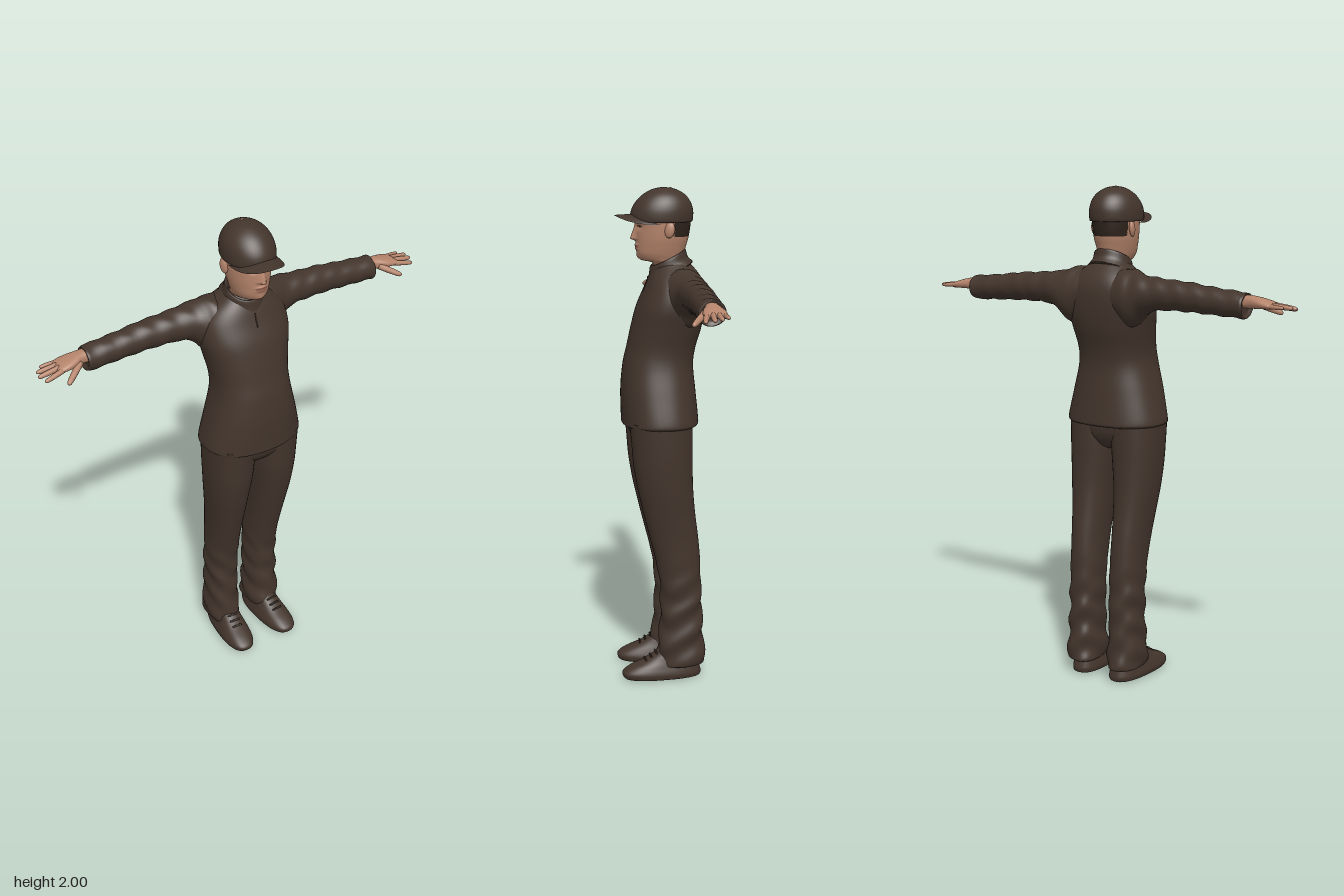
import * as THREE from 'three';

const V3 = THREE.Vector3;
const mat = (name, color, extra = {}) => {
  const m = new THREE.MeshStandardMaterial({ color, ...extra });
  m.name = name;
  return m;
};

// Smooth closed body through rows of [y, centreX, radiusX, zFront, zBack]; n squares the section
function loft(rows, { segs = 40, steps = 40, n = 2, rule } = {}) {
  const curve = f => new THREE.CatmullRomCurve3(rows.map(f), false, 'catmullrom', 0.5);
  const A = curve(r => new V3(r[0], r[1], r[2]));
  const B = curve(r => new V3(r[3], r[4], 0));
  const sq = v => Math.sign(v) * Math.abs(v) ** (2 / n);
  const pos = [], idx = [], centres = [];
  for (let j = 0; j <= steps; j++) {
    const a = A.getPoint(j / steps), b = B.getPoint(j / steps);
    const mid = new V3();
    for (let i = 0; i < segs; i++) {
      const t = (i / segs) * Math.PI * 2;
      const p = new V3(a.y + a.z * sq(Math.cos(t)), a.x, (b.x + b.y) / 2 + ((b.x - b.y) / 2) * sq(Math.sin(t)));
      if (rule) rule(p);
      pos.push(p.x, p.y, p.z);
      mid.addScaledVector(p, 1 / segs);
    }
    centres.push(mid);
  }
  for (let j = 0; j < steps; j++) for (let i = 0; i < segs; i++) {
    const k = (i + 1) % segs, a = j * segs + i, b = j * segs + k, c = a + segs, d = b + segs;
    idx.push(a, c, b, b, c, d);
  }
  // close both ends
  const end = pos.length / 3, top = steps * segs;
  pos.push(...centres[0].toArray(), ...centres[steps].toArray());
  for (let i = 0; i < segs; i++) {
    const k = (i + 1) % segs;
    idx.push(end, i, k, end + 1, top + k, top + i);
  }
  const g = new THREE.BufferGeometry();
  g.setAttribute('position', new THREE.Float32BufferAttribute(pos, 3));
  g.setIndex(idx);
  g.computeVertexNormals();
  return g;
}

// Body lofted along x on side s, rows of [x, centreY, radiusY, zFront, zBack]
const sideLoft = (s, rows, opt) =>
  loft(rows.map(([x, y, ...r]) => [x, -s * y, ...r]), opt).rotateZ((-s * Math.PI) / 2);

// Tapered finger between two points
function finger(from, to, r) {
  const a = new V3(...from), dir = new V3(...to).sub(a), L = dir.length();
  const g = loft([[0, 1], [0.5, 0.95], [0.85, 0.78], [0.97, 0.5], [1, 0.1]]
    .map(([t, k]) => [t * L, 0, r * k, r * k, -r * k]), { segs: 12, steps: 14 });
  g.applyQuaternion(new THREE.Quaternion().setFromUnitVectors(new V3(0, 1, 0), dir.normalize()));
  return g.translate(a.x, a.y, a.z);
}

// Split triangles into material groups by a rule on their centre
function paint(g, pick, count) {
  const buckets = Array.from({ length: count }, () => []), p = g.attributes.position, ix = g.index.array;
  const c = new V3(), v = new V3();
  for (let i = 0; i < ix.length; i += 3) {
    c.set(0, 0, 0);
    for (let k = 0; k < 3; k++) c.addScaledVector(v.fromBufferAttribute(p, ix[i + k]), 1 / 3);
    buckets[pick(c)].push(ix[i], ix[i + 1], ix[i + 2]);
  }
  g.setIndex(buckets.flat());
  let start = 0;
  buckets.forEach((b, m) => { g.addGroup(start, b.length, m); start += b.length; });
  return g;
}

export function createModel() {
  const root = new THREE.Group();
  root.name = 'standingFigure';
  const cloth = mat('brownCloth', 0x43352c, { side: THREE.DoubleSide });
  const skin = mat('skin', 0xb5846b);
  const hair = mat('darkHair', 0x2e221b);
  const lip = mat('lips', 0x94604f);
  const add = (name, geo, m, parent = root) => {
    const mesh = new THREE.Mesh(geo, m);
    mesh.name = name;
    parent.add(mesh);
    return mesh;
  };

  // Pullover body and hem
  add('pullover', loft([
    [1.058, 0, 0.195, 0.14, -0.145], [1.064, 0, 0.207, 0.152, -0.155], [1.085, 0, 0.21, 0.153, -0.156],
    [1.2, 0, 0.183, 0.155, -0.145], [1.3, 0, 0.16, 0.146, -0.136], [1.37, 0, 0.157, 0.13, -0.145],
    [1.45, 0, 0.17, 0.112, -0.168], [1.53, 0, 0.185, 0.09, -0.18], [1.6, 0, 0.178, 0.06, -0.18],
    [1.65, 0, 0.145, 0.04, -0.165], [1.69, 0, 0.095, 0.02, -0.135], [1.71, 0, 0.07, 0.005, -0.11],
  ], { segs: 56, steps: 66, n: 2.3 }), cloth);

  // Stand-up collar, higher at the back
  add('collar', loft([
    [1.66, 0, 0.1, 0.05, -0.135], [1.69, 0, 0.083, 0.04, -0.115], [1.72, 0, 0.077, 0.036, -0.107],
    [1.726, 0, 0.073, 0.032, -0.103], [1.72, 0, 0.066, 0.026, -0.097], [1.69, 0, 0.06, 0.02, -0.09],
  ], { steps: 30, rule: p => { p.y -= 0.5 * (p.z + 0.035); } }), cloth);
  const zip = add('zip', new THREE.BoxGeometry(0.006, 0.055, 0.006), hair);
  zip.position.set(0, 1.615, 0.054);
  zip.rotation.x = -0.38;

  // Trousers seat
  add('trouserSeat', loft([
    [0.955, 0, 0.05, 0.05, -0.06], [0.975, 0, 0.1, 0.085, -0.09],
    [1.02, 0, 0.18, 0.118, -0.115], [1.09, 0, 0.198, 0.13, -0.125],
  ], { n: 2.4 }), cloth);

  for (const s of [1, -1]) {
    const side = s > 0 ? 'left' : 'right';

    // Sleeve with a soft underarm and cuff
    add(side + 'Sleeve', sideLoft(s, [
      [0.04, 1.6, 0.075, 0, -0.165], [0.12, 1.575, 0.112, 0.01, -0.18], [0.16, 1.573, 0.105, -0.01, -0.18],
      [0.2, 1.59, 0.077, -0.033, -0.178], [0.26, 1.597, 0.063, -0.045, -0.17], [0.33, 1.596, 0.058, -0.05, -0.167],
      [0.4, 1.594, 0.056, -0.055, -0.165], [0.5, 1.586, 0.052, -0.058, -0.162], [0.62, 1.578, 0.049, -0.058, -0.16],
      [0.642, 1.577, 0.048, -0.058, -0.16], [0.648, 1.577, 0.044, -0.064, -0.154], [0.64, 1.577, 0.03, -0.08, -0.138],
    ], { steps: 66, rule: p => { p.x += 0.0025 * Math.sin(p.y * 75 + p.z * 45); } }), cloth);

    // Hand
    const hand = new THREE.Group();
    hand.name = side + 'Hand';
    root.add(hand);
    add('palm', sideLoft(s, [
      [0.61, 1.592, 0.025, -0.078, -0.134], [0.66, 1.592, 0.024, -0.078, -0.134], [0.69, 1.59, 0.022, -0.068, -0.14],
      [0.72, 1.587, 0.018, -0.061, -0.146], [0.75, 1.583, 0.013, -0.061, -0.146], [0.767, 1.581, 0.006, -0.068, -0.14],
    ], { segs: 28, steps: 24, n: 2.4 }), skin, hand);
    [
      [[0.675, 1.585, -0.08], [0.752, 1.547, -0.024], 0.013],
      [[0.745, 1.582, -0.072], [0.827, 1.568, -0.055], 0.0105],
      [[0.75, 1.584, -0.093], [0.84, 1.574, -0.086], 0.011],
      [[0.75, 1.584, -0.114], [0.836, 1.578, -0.113], 0.0105],
      [[0.74, 1.583, -0.134], [0.812, 1.58, -0.139], 0.009],
    ].forEach(([a, b, r], i) => add(['thumb', 'indexFinger', 'middleFinger', 'ringFinger', 'littleFinger'][i],
      finger([s * a[0], a[1], a[2]], [s * b[0], b[1], b[2]], r), skin, hand));

    // Trouser leg with light creases below the knee
    add(side + 'TrouserLeg', loft([
      [0.058, 0.1, 0.058, 0.01, -0.165], [0.062, 0.1, 0.068, 0.02, -0.18], [0.1, 0.1, 0.071, 0.022, -0.178],
      [0.2, 0.1, 0.066, 0.01, -0.168], [0.3, 0.098, 0.065, 0.006, -0.165], [0.4, 0.098, 0.066, 0.008, -0.16],
      [0.5, 0.098, 0.066, 0.025, -0.157], [0.6, 0.1, 0.068, 0.05, -0.148], [0.7, 0.102, 0.075, 0.075, -0.135],
      [0.8, 0.104, 0.084, 0.098, -0.126], [0.9, 0.102, 0.094, 0.115, -0.123], [0.98, 0.1, 0.1, 0.122, -0.123],
      [1.08, 0.098, 0.105, 0.13, -0.122],
    ].map(([y, x, ...r]) => [y, s * x, ...r]), {
      steps: 90, n: 2.2,
      rule: p => {
        const k = THREE.MathUtils.smoothstep(0.55 - p.y, 0, 0.25) * 0.0045;
        p.x += k * Math.sin(p.y * 55 + p.z * 30);
        p.z += k * Math.sin(p.y * 48 + p.x * 45);
      },
    }), cloth);

    // Shoe, turned slightly outward
    const shoe = new THREE.Group();
    shoe.name = side + 'Shoe';
    shoe.position.x = s * 0.1;
    shoe.rotation.y = s * 0.07;
    root.add(shoe);
    add('shoeBody', loft([
      [0.0, 0, 0.05, 0.14, -0.145], [0.005, 0, 0.062, 0.157, -0.16], [0.02, 0, 0.066, 0.166, -0.163],
      [0.035, 0, 0.064, 0.16, -0.16], [0.055, 0, 0.058, 0.128, -0.155], [0.08, 0, 0.051, 0.07, -0.15],
      [0.11, 0, 0.045, 0.025, -0.14], [0.14, 0, 0.035, 0.01, -0.12],
    ], { steps: 34, n: 2.5 }), cloth, shoe);
    for (let i = 0; i < 3; i++) {
      const lace = add('lace', new THREE.CapsuleGeometry(0.004, 0.04, 3, 8), hair, shoe);
      lace.rotation.z = Math.PI / 2;
      lace.position.set(0, 0.08 + i * 0.014, 0.07 - i * 0.022);
    }

    // Ear
    const ear = add(side + 'Ear', new THREE.SphereGeometry(1, 18, 14), skin);
    ear.scale.set(0.011, 0.032, 0.02);
    ear.position.set(s * 0.088, 1.837, -0.032);
    ear.rotation.set(-0.15, s * -0.3, 0);
  }

  // Head and neck, with nose, eye sockets and mouth shaped by rule
  const bell = (v, w) => Math.exp(-((v / w) ** 2));
  const face = p => {
    if (p.z < 0.03) return;
    const ax = Math.abs(p.x);
    const nose = p.y > 1.8 ? Math.max(0, 1 - (p.y - 1.8) / 0.06) : Math.max(0, 1 - (1.8 - p.y) / 0.01);
    p.z += 0.023 * nose * bell(ax, 0.008 + 0.006 * nose)
      - 0.009 * bell(ax - 0.031, 0.016) * bell(p.y - 1.848, 0.011)
      + 0.006 * bell(ax, 0.024) * (bell(p.y - 1.775, 0.006) + bell(p.y - 1.762, 0.006))
      + 0.005 * bell(ax, 0.02) * bell(p.y - 1.728, 0.012);
  };
  const headGeo = loft([
    [1.64, 0, 0.056, 0.005, -0.095], [1.68, 0, 0.055, 0.012, -0.093], [1.706, 0, 0.056, 0.028, -0.094],
    [1.717, 0, 0.058, 0.07, -0.096], [1.74, 0, 0.067, 0.087, -0.1], [1.77, 0, 0.075, 0.09, -0.108],
    [1.8, 0, 0.081, 0.092, -0.117], [1.84, 0, 0.085, 0.093, -0.124], [1.88, 0, 0.086, 0.096, -0.127],
    [1.92, 0, 0.08, 0.085, -0.12],
  ], { segs: 96, steps: 120, rule: face });
  add('head', paint(headGeo, c => {
    const ax = Math.abs(c.x);
    if (c.z < -0.052 && c.y > 1.808) return 1;
    if (c.z < 0.03) return 0;
    if (((ax - 0.031) / 0.013) ** 2 + ((c.y - 1.849) / 0.004) ** 2 < 1) return 1;
    if (ax > 0.014 && ax < 0.05 && Math.abs(c.y - 1.866) < 0.003) return 1;
    if ((ax / 0.026) ** 2 + ((c.y - 1.769) / 0.009) ** 2 < 1) return 2;
    return 0;
  }, 3), [skin, hair, lip]);

  // Cap crown
  add('capCrown', loft([
    [1.868, 0, 0.085, 0.096, -0.122], [1.866, 0, 0.097, 0.112, -0.132], [1.885, 0, 0.1, 0.115, -0.136],
    [1.915, 0, 0.098, 0.108, -0.135], [1.945, 0, 0.088, 0.09, -0.124], [1.972, 0, 0.068, 0.062, -0.102],
    [1.992, 0, 0.037, 0.024, -0.065], [2.0, 0, 0.003, -0.016, -0.022],
  ], { segs: 48, steps: 48 }), cloth);
  const button = add('capTopSpot', new THREE.SphereGeometry(0.008, 14, 10), skin);
  button.scale.y = 0.6;
  button.position.set(0, 1.994, -0.046);

  // Curved cap brim
  const brim = new THREE.PlaneGeometry(2, 1, 32, 8), bp = brim.attributes.position;
  for (let i = 0; i < bp.count; i++) {
    const a = bp.getX(i) * 1.45, v = 0.5 - bp.getY(i), c = Math.cos(a);
    const x = THREE.MathUtils.lerp(0.096, 0.094, v) * Math.sin(a);
    const z = THREE.MathUtils.lerp(-0.012 + 0.118 * c, 0.18 * c ** 0.75, v);
    bp.setXYZ(i, x, 1.896 - 0.034 * (x / 0.092) ** 2 - 0.004 * v, z);
  }
  brim.computeVertexNormals();
  add('capBrim', brim, cloth);

  return root;
}
